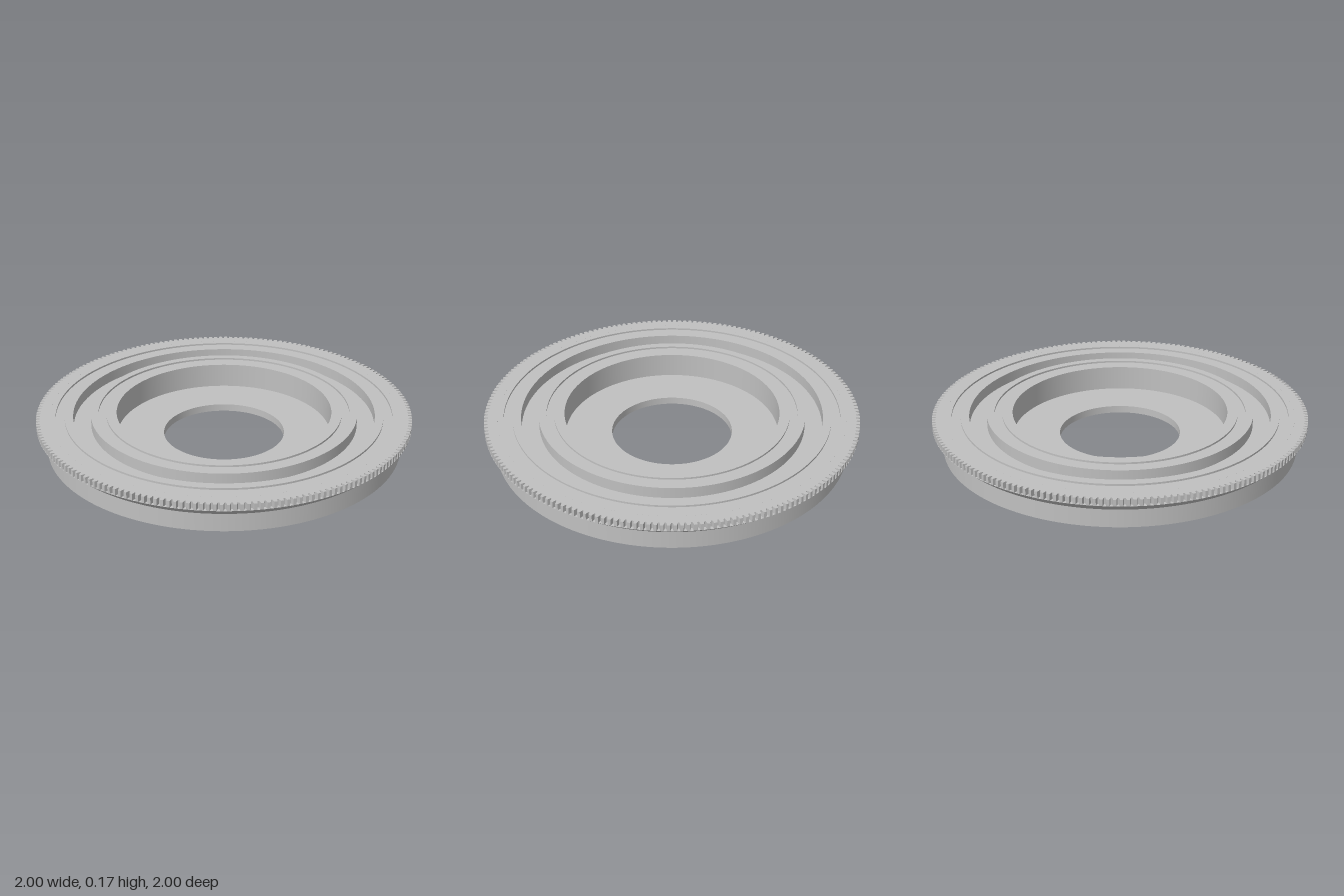
import * as THREE from 'three';
import { mergeGeometries } from 'three/addons/utils/BufferGeometryUtils.js';

const SEGMENTS = 160;
const TEETH = 200;
const HEIGHT = 0.175;
const RIM_BASE = 0.14;
const SEAM = 0.93;

// Revolve each straight run on its own, so every corner stays sharp
function sharpLathe(points) {
  const runs = [];
  for (let i = 0; i < points.length - 1; i++) {
    const pair = [points[i], points[i + 1]].map(([r, y]) => new THREE.Vector2(r, y));
    runs.push(new THREE.LatheGeometry(pair, SEGMENTS));
  }
  return mergeGeometries(runs);
}

// Ring with fine grip teeth around the outside
function toothedRing() {
  const outline = [];
  const tooth = [[0, 0.98], [0.22, 0.98], [0.38, 1], [0.84, 1]];
  for (let i = 0; i < TEETH; i++) {
    for (const [t, r] of tooth) {
      const a = ((i + t) / TEETH) * Math.PI * 2;
      outline.push(new THREE.Vector2(Math.cos(a) * r, Math.sin(a) * r));
    }
  }
  const shape = new THREE.Shape(outline);
  const hole = new THREE.Path();
  hole.absarc(0, 0, SEAM, 0, Math.PI * 2, true);
  shape.holes.push(hole);
  const geometry = new THREE.ExtrudeGeometry(shape, {
    depth: HEIGHT - RIM_BASE, bevelEnabled: false, curveSegments: SEGMENTS,
  });
  geometry.rotateX(-Math.PI / 2);
  geometry.translate(0, RIM_BASE, 0);
  return geometry;
}

export function createModel() {
  const group = new THREE.Group();
  const metal = new THREE.MeshStandardMaterial({ color: 0xc0c0c0 });
  metal.name = 'grey metal';

  const groove = HEIGHT - 0.01;
  const channel = 0.115;
  const floor = 0.04;
  const body = new THREE.Mesh(sharpLathe([
    // underside, side wall and flared rim
    [0.325, 0], [0.95, 0], [0.95, 0.095], [1, RIM_BASE], [SEAM, RIM_BASE], [SEAM, HEIGHT],
    // shallow outer groove
    [0.898, HEIGHT], [0.898, groove], [0.85, groove], [0.85, HEIGHT],
    // deep channel
    [0.805, HEIGHT], [0.805, channel], [0.712, channel], [0.712, HEIGHT],
    // shallow inner groove
    [0.672, HEIGHT], [0.672, groove], [0.63, groove], [0.63, HEIGHT],
    // recess and centre hole
    [0.575, HEIGHT], [0.575, floor], [0.325, floor], [0.325, 0],
  ]), metal);
  body.name = 'flangeBody';

  const teeth = new THREE.Mesh(toothedRing(), metal);
  teeth.name = 'toothedRim';

  group.add(body, teeth);
  return group;
}
